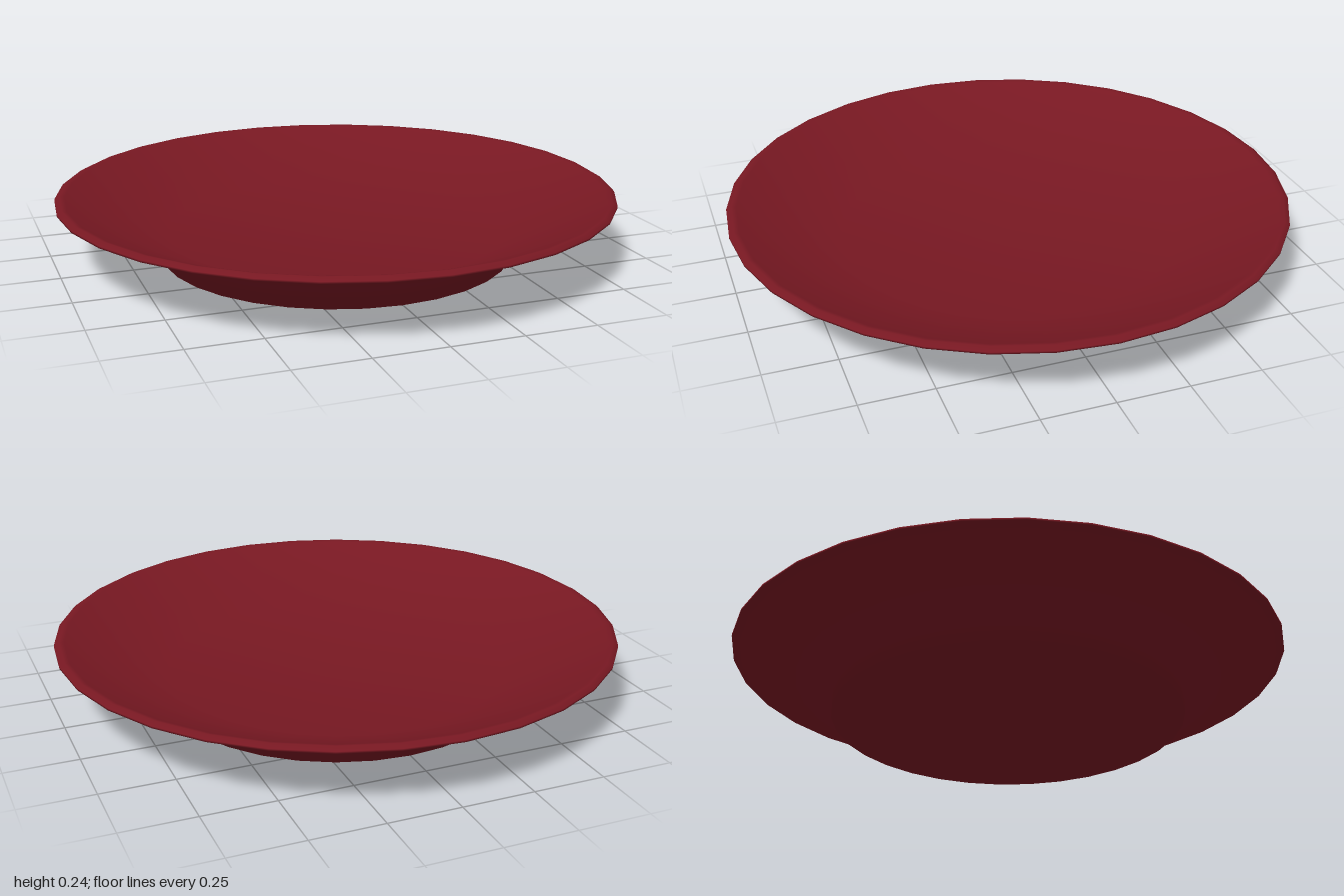
import * as THREE from 'three';

export function createModel() {
  const group = new THREE.Group();
  group.name = 'plate';

  // Closed profile: underside, foot, flared wall, thin lip, inner slope, floor
  const profile = [
    [0, 0],
    [0.635, 0],
    [0.635, 0.067],
    [1, 0.219],
    [1, 0.226],
    [0.982, 0.236],
    [0.965, 0.232],
    [0.61, 0.083],
    [0, 0.083],
  ].map(([r, y]) => new THREE.Vector2(r, y));

  const material = new THREE.MeshStandardMaterial({ color: 0x781822 });
  const dish = new THREE.Mesh(new THREE.LatheGeometry(profile, 32), material);
  dish.name = 'dish';
  group.add(dish);

  return group;
}
